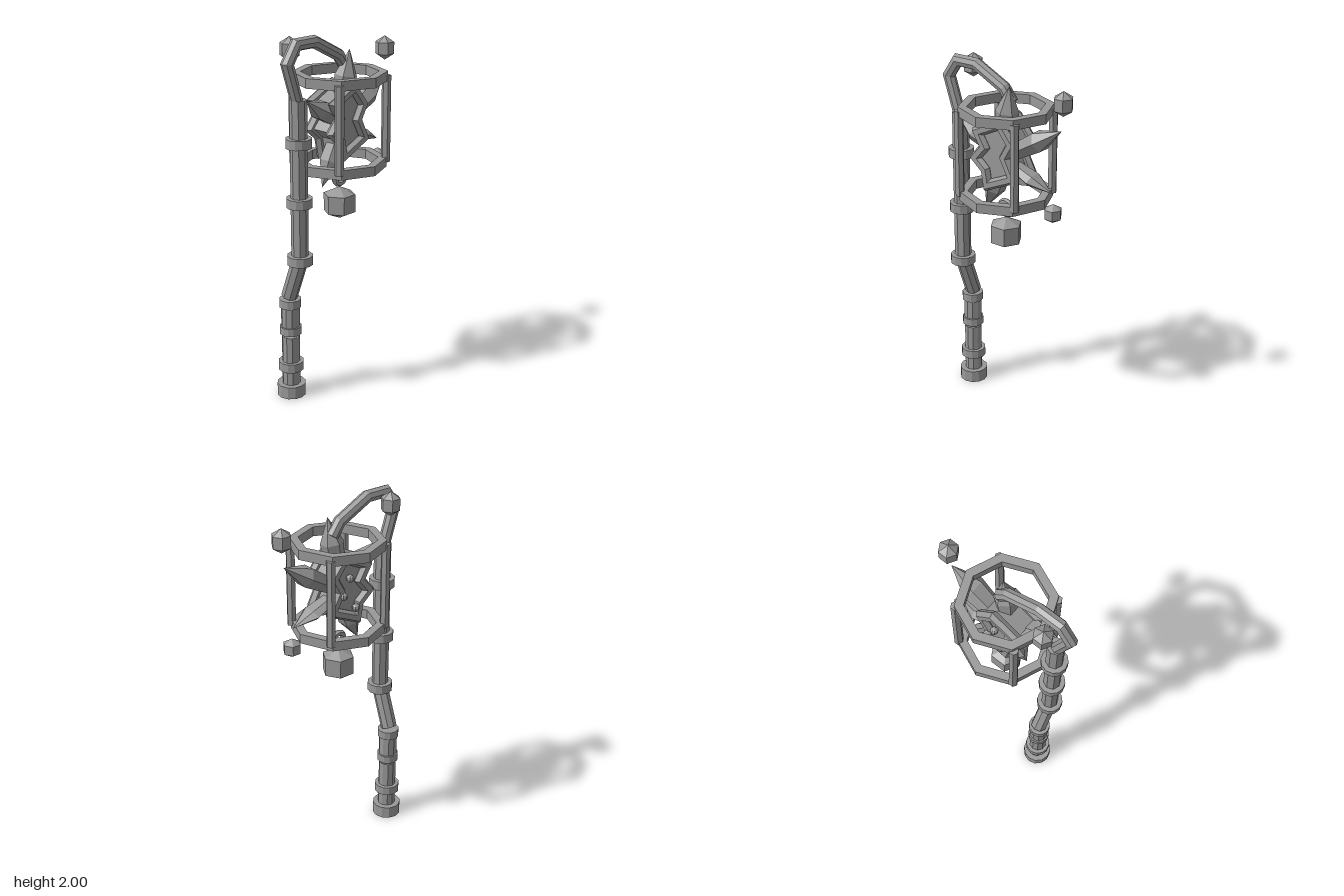
import * as THREE from 'three';

export function createModel() {
  const model = new THREE.Group();
  const stone = new THREE.MeshStandardMaterial({ color: 0x999999, flatShading: true });
  stone.name = 'stone grey';

  const add = (name, geo, x = 0, y = 0, z = 0) => {
    const mesh = new THREE.Mesh(geo, stone);
    mesh.name = name;
    mesh.position.set(x, y, z);
    model.add(mesh);
    return mesh;
  };
  const lathe = (profile, sides) =>
    new THREE.LatheGeometry(profile.map(p => new THREE.Vector2(...p)), sides, Math.PI / 2);

  // Places a geometry that runs along +y from its origin so it points from a to b
  const aim = (mesh, a, b) => {
    mesh.position.copy(a);
    mesh.quaternion.setFromUnitVectors(new THREE.Vector3(0, 1, 0), b.clone().sub(a).normalize());
    return mesh;
  };

  // Mitred tube along points in the xy plane
  function sweep(path, radius, sides, closed) {
    const pts = path.map(p => new THREE.Vector2(...p));
    const n = pts.length, pos = [], idx = [];
    pts.forEach((p, i) => {
      const prev = closed || i > 0 ? pts[(i + n - 1) % n] : null;
      const next = closed || i < n - 1 ? pts[(i + 1) % n] : null;
      const d1 = (prev ? p.clone().sub(prev) : next.clone().sub(p)).normalize();
      const d2 = (next ? next.clone().sub(p) : d1.clone()).normalize();
      const d = d1.clone().add(d2).normalize();
      const stretch = 1 / Math.max(0.5, d.dot(d1));
      for (let j = 0; j < sides; j++) {
        const a = (j / sides) * Math.PI * 2, r = Math.cos(a) * radius * stretch;
        pos.push(p.x - d.y * r, p.y + d.x * r, Math.sin(a) * radius);
      }
    });
    for (let i = 0; i < (closed ? n : n - 1); i++) {
      for (let j = 0; j < sides; j++) {
        const k = (j + 1) % sides, m = ((i + 1) % n) * sides;
        const a = i * sides + j, b = i * sides + k;
        idx.push(a, b, m + j, b, m + k, m + j);
      }
    }
    if (!closed) {
      const e = (n - 1) * sides;
      for (let j = 1; j < sides - 1; j++) idx.push(0, j + 1, j, e, e + j, e + j + 1);
    }
    const geo = new THREE.BufferGeometry();
    geo.setAttribute('position', new THREE.Float32BufferAttribute(pos, 3));
    geo.setIndex(idx);
    geo.computeVertexNormals();
    return geo;
  }

  // Staff: stacked cylinders [name, bottom, top, radius, z, sides]
  const sx = -0.305;
  const staff = [
    ['pommel', 0, 0.07, 0.08, -0.08, 12],
    ['lowerGrip', 0.07, 0.355, 0.05, -0.08, 10],
    ['lowerCollar', 0.155, 0.205, 0.07, -0.08, 12],
    ['upperGrip', 0.375, 0.57, 0.052, -0.08, 10],
    ['gripCollar', 0.37, 0.415, 0.06, -0.08, 12],
    ['gripCollar', 0.53, 0.577, 0.06, -0.08, 12],
    ['shaft', 0.8, 1.69, 0.046, 0, 8],
    ['shaftCollar', 0.8, 0.85, 0.07, 0, 12],
    ['shaftCollar', 1.12, 1.17, 0.07, 0, 12],
    ['shaftCollar', 1.44, 1.49, 0.07, 0, 12],
  ];
  for (const [name, y0, y1, r, z, sides] of staff)
    add(name, new THREE.CylinderGeometry(r, r, y1 - y0, sides), sx, (y0 + y1) / 2, z);

  // Slanted shaft section joining the offset grip
  const low = new THREE.Vector3(sx, 0.59, -0.085), high = new THREE.Vector3(sx, 0.82, 0);
  const len = low.distanceTo(high);
  aim(add('slantedShaft', new THREE.CylinderGeometry(0.045, 0.045, len, 8).translate(0, len / 2, 0)), low, high);

  // Hook
  add('hook', sweep([[-0.31, 1.67], [-0.378, 1.88], [-0.317, 1.97], [-0.19, 1.97],
    [-0.01, 1.878], [0.04, 1.81]], 0.033, 8, false));

  // Cage: two octagonal rings and four bars
  const octagon = (r, shape) => {
    for (let i = 0; i < 8; i++) {
      const a = (i * Math.PI) / 4;
      shape[i ? 'lineTo' : 'moveTo'](Math.cos(a) * r, Math.sin(a) * r);
    }
    shape.closePath();
    return shape;
  };
  const ringShape = octagon(0.252, new THREE.Shape());
  ringShape.holes.push(octagon(0.205, new THREE.Path()));
  const ringGeo = new THREE.ExtrudeGeometry(ringShape, { depth: 0.052, bevelEnabled: false }).rotateX(-Math.PI / 2);
  for (const y of [1.271, 1.738]) add('cageRing', ringGeo, 0.002, y, 0);
  const barGeo = new THREE.CylinderGeometry(0.025, 0.025, 0.47, 6).rotateY(Math.PI / 2);
  for (const x of [-1, 1]) for (const z of [-1, 1])
    add('cageBar', barGeo, 0.002 + x * 0.18, 1.531, z * 0.167);

  // Jagged core with a raised frame on each face
  const outline = [[-0.125, 1.64], [0.02, 1.71], [0.095, 1.615], [0.05, 1.535], [0.105, 1.43],
    [-0.06, 1.355], [-0.075, 1.44], [-0.14, 1.495], [-0.08, 1.565]];
  const coreShape = new THREE.Shape(outline.map(p => new THREE.Vector2(...p)));
  add('core', new THREE.ExtrudeGeometry(coreShape, { depth: 0.14, bevelEnabled: false }), 0, 0, -0.07);
  const frameGeo = sweep(outline, 0.028, 6, true);
  for (const z of [-0.077, 0.077]) add('coreFrame', frameGeo, 0, 0, z);

  // Studs on the back of the core
  for (const [x, y] of [[0, 1.6], [0.042, 1.51], [-0.04, 1.425]])
    add('stud', new THREE.SphereGeometry(0.022, 8, 6), x, y, -0.098);

  // Crystal spikes: [base, tip, radius, thickness across]
  const spikes = [
    [[0.0, 1.6, 0.01], [0.045, 1.905, 0.03], 0.062, 1],
    [[0.05, 1.54, 0], [0.35, 1.72, 0], 0.07, 0.85],
    [[0.03, 1.48, 0], [0.3, 1.37, 0], 0.065, 0.5],
    [[0.0, 1.47, 0], [-0.135, 1.185, 0], 0.065, 0.85],
    [[-0.04, 1.54, 0.01], [-0.285, 1.685, 0.04], 0.065, 0.85],
  ];
  for (const [a, b, r, flat] of spikes) {
    const from = new THREE.Vector3(...a), to = new THREE.Vector3(...b);
    const l = from.distanceTo(to);
    const geo = lathe([[0, 0], [r * 0.75, 0], [r, l * 0.55], [0, l]], 6).rotateY(Math.PI / 6);
    aim(add('spike', geo.scale(flat, 1, 1)), from, to);
  }

  // Hanging loop and faceted gems: [name, radius, half height, belt half height, x, y, z]
  add('hangingLoop', new THREE.TorusGeometry(0.037, 0.018, 6, 12), 0, 1.213, 0);
  const gems = [
    ['hangingGem', 0.088, 0.09, 0.05, 0, 1.07, 0],
    ['floatingGem', 0.052, 0.066, 0.032, 0.357, 1.865, 0],
    ['floatingGem', 0.048, 0.053, 0.026, 0.307, 1.262, 0],
    ['floatingGem', 0.052, 0.066, 0.032, -0.28, 1.934, -0.082],
  ];
  for (const [name, r, h, belt, x, y, z] of gems)
    add(name, lathe([[0, -h], [r, -belt], [r, belt], [0, h]], 6), x, y, z);

  return model;
}
